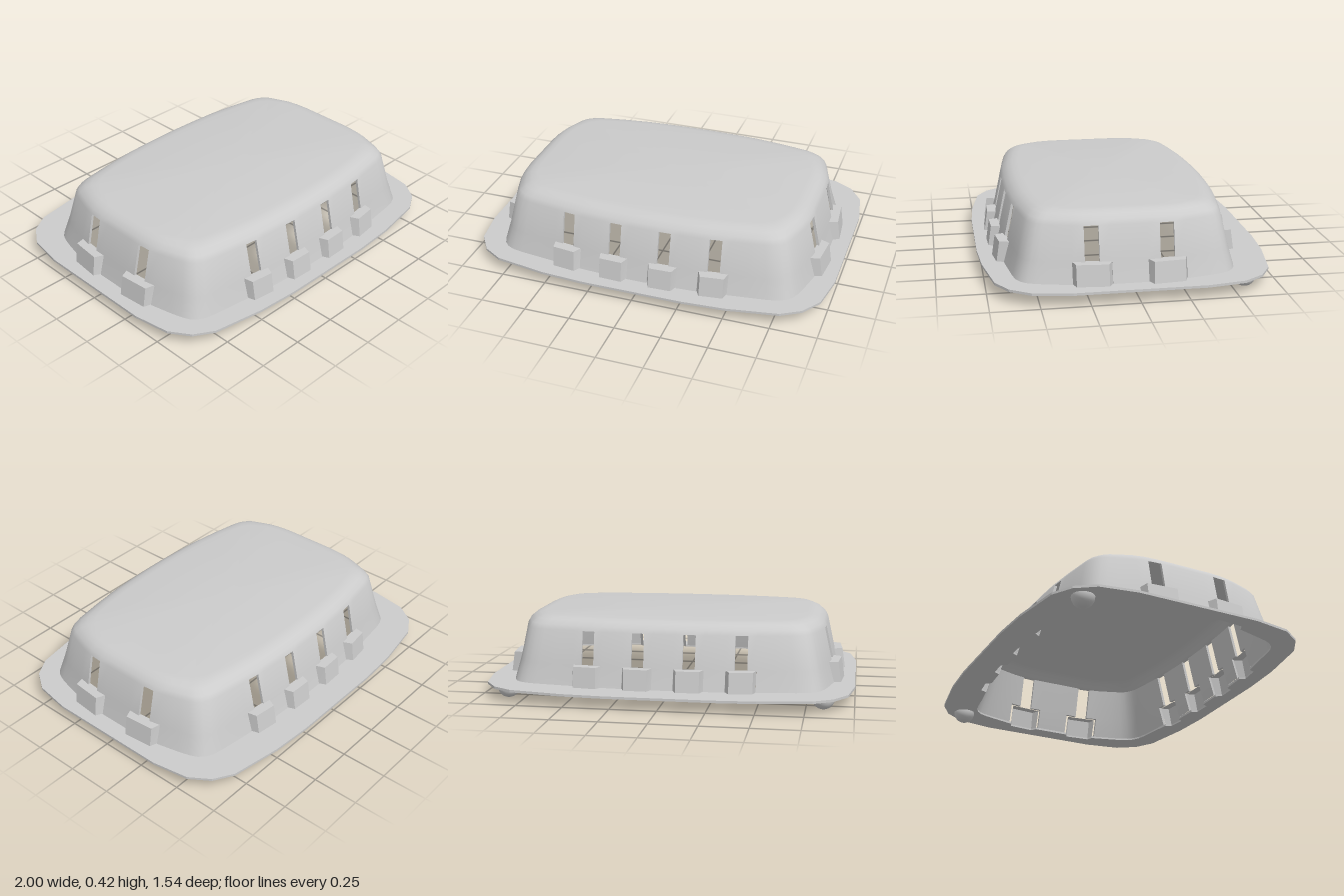
import * as THREE from 'three';
import { toCreasedNormals } from 'three/addons/utils/BufferGeometryUtils.js';

const BASE = 0.07, WALL = 0.015, DOME_Z = 0.035;
// Wall profile: height and inward offset, from the rim to the flat top
const ROWS = [[BASE, 0], [0.18, 0.03], [0.36, 0.07], [0.385, 0.085], [0.407, 0.112], [0.419, 0.14], [0.424, 0.175]];
const LAST = ROWS.length - 1;

// Mirror a quarter outline (front centre to side centre) into a full loop
function mirrorLoop(q) {
  const r = [...q].reverse();
  return [
    ...q,
    ...r.map(([x, z]) => [x, -z]),
    ...q.map(([x, z]) => [-x, -z]),
    ...r.map(([x, z]) => [-x, z]),
  ];
}

// Slots and pockets: centres and half widths on the long and short walls
const LONG = { at: [0.137, 0.41], half: [0.08, 0.033] };
const SHORT = { at: [0.192], half: [0.1, 0.037] };
const cuts = ({ at, half: [p, s] }) => at.flatMap(c => [c - p, c - s, c + s, c + p]);
const bow = x => (x < 0.3 ? 0.64 - x * 0.033 : 0.63 - (x - 0.3) * 0.125);
const bulge = z => (z < 0.2 ? 0.905 : 0.905 - (z - 0.2) * 0.2);

const LOOP = mirrorLoop([
  ...[...cuts(LONG), 0.6, 0.7].map(x => [x, bow(x)]),
  [0.755, 0.568], [0.795, 0.548], [0.823, 0.518], [0.842, 0.475], [0.86, 0.41],
  ...cuts(SHORT).reverse().map(z => [bulge(z), z]),
]);
const N = LOOP.length;

// Move a loop point inward, keeping the openings upright
function inset([x, z], d) {
  const f = (v, a, w) => v - Math.sign(v) * d * THREE.MathUtils.clamp((Math.abs(v) - a) / w, 0, 1);
  return [f(x, 0.5, 0.35), f(z, 0.3, 0.25)];
}

function isHole(i, row) {
  if (row > 1) return false;
  const a = LOOP[(i + N) % N], b = LOOP[(i + 1 + N) % N];
  const x = Math.abs(a[0] + b[0]) / 2, z = Math.abs(a[1] + b[1]) / 2;
  const onLong = z > 0.5, wall = onLong ? LONG : SHORT;
  return wall.at.some(c => Math.abs((onLong ? x : z) - c) < wall.half[row]);
}

function quadGeometry(quads, crease) {
  const pos = [];
  for (const [a, b, c, d] of quads) pos.push(...a, ...b, ...c, ...a, ...c, ...d);
  const g = new THREE.BufferGeometry();
  g.setAttribute('position', new THREE.Float32BufferAttribute(pos, 3));
  return toCreasedNormals(g, crease);
}

// Double-walled cover with slots and pocket openings left out
function coverGeometry() {
  const quads = [];
  const point = (i, row, inner) => {
    const [y, d] = ROWS[row];
    const [x, z] = inset(LOOP[(i + N) % N], d + inner * WALL);
    return [x, y - (row > 2 ? inner * WALL : 0), z];
  };
  for (let i = 0; i < N; i++) {
    for (let row = 0; row < LAST; row++) {
      if (isHole(i, row)) continue;
      const ring = inner => [point(i, row, inner), point(i + 1, row, inner),
        point(i + 1, row + 1, inner), point(i, row + 1, inner)];
      const o = ring(0), n = ring(1);
      quads.push(o, [...n].reverse());
      // Close the wall thickness around each opening
      const open = [row > 0 && isHole(i, row - 1), isHole(i + 1, row), isHole(i, row + 1), isHole(i - 1, row)];
      open.forEach((yes, k) => {
        const m = (k + 1) % 4;
        if (yes) quads.push([o[m], o[k], n[k], n[m]]);
      });
    }
    // Flat top, outside and inside
    for (const inner of [0, 1]) {
      const a = point(i, LAST, inner), b = point(i + 1, LAST, inner);
      const mid = [0, a[1], 0];
      quads.push(inner ? [b, a, mid, mid] : [a, b, mid, mid]);
    }
  }
  return quadGeometry(quads, 0.7);
}

// Four plan points of a pocket standing out from the wall between a and b
function pocketSection(a, b, depth, taper, thick) {
  const len = Math.hypot(b[0] - a[0], b[1] - a[1]);
  const t = [(b[0] - a[0]) / len, (b[1] - a[1]) / len], n = [-t[1], t[0]];
  const put = (p, along, out) => [p[0] + t[0] * along + n[0] * out, p[1] + t[1] * along + n[1] * out];
  return [put(a, thick, -WALL * 0.6), put(a, taper + thick, depth - thick),
    put(b, -taper - thick, depth - thick), put(b, -thick, -WALL * 0.6)];
}

function pocketGeometry(a, b) {
  const quads = [];
  for (const thick of [0, 0.012]) {
    const top = ROWS[1][0] + 0.003 - thick;
    const lo = pocketSection(a, b, 0.035, 0.018, thick).map(([x, z]) => [x, BASE, z]);
    const hi = pocketSection(inset(a, 0.03), inset(b, 0.03), 0.048, 0.018, thick).map(([x, z]) => [x, top, z]);
    const skin = [0, 1, 2].map(k => [lo[k], lo[k + 1], hi[k + 1], hi[k]]);
    skin.push(hi);
    quads.push(...(thick ? skin.map(q => [...q].reverse()) : skin));
  }
  return quadGeometry(quads, 0.3);
}

export function createModel() {
  const group = new THREE.Group();
  const material = new THREE.MeshStandardMaterial({ color: 0xcccccc });
  const add = (name, geometry, x = 0, y = 0, z = 0) => {
    const mesh = new THREE.Mesh(geometry, material);
    mesh.name = name;
    mesh.position.set(x, y, z);
    group.add(mesh);
    return mesh;
  };

  add('cover', coverGeometry(), 0, 0, DOME_Z);

  // Pockets below the slots; their outline also notches the flange opening
  const opening = [];
  for (let i = 0; i < N; i++) {
    if (isHole(i, 0) && !isHole(i - 1, 0)) {
      const a = LOOP[i], b = LOOP[(i + 3) % N];
      add('pocket', pocketGeometry(a, b), 0, 0, DOME_Z);
      opening.push(...pocketSection(a, b, 0.035, 0.018, 0.012));
      i += 3;
    } else {
      opening.push(inset(LOOP[i], WALL));
    }
  }

  // Flat flange around the open underside
  const rim = mirrorLoop([[0.28, 0.772], [0.51, 0.757], [0.79, 0.71], [0.895, 0.647], [0.967, 0.54], [1, 0.34]]);
  const shape = new THREE.Shape(rim.map(([x, z]) => new THREE.Vector2(x, -z)));
  shape.holes.push(new THREE.Path(opening.map(([x, z]) => new THREE.Vector2(x, -z - DOME_Z))));
  const flange = new THREE.ExtrudeGeometry(shape, { depth: 0.013, bevelEnabled: false });
  flange.rotateX(-Math.PI / 2);
  add('flange', flange, 0, 0.06, 0);

  // Two round feet under the back corners
  for (const side of [-1, 1]) {
    const foot = new THREE.SphereGeometry(0.06, 24, 10, 0, Math.PI * 2, Math.PI / 2, Math.PI / 2);
    add('foot', foot, side * 0.84, 0.06, -0.565);
  }
  return group;
}
